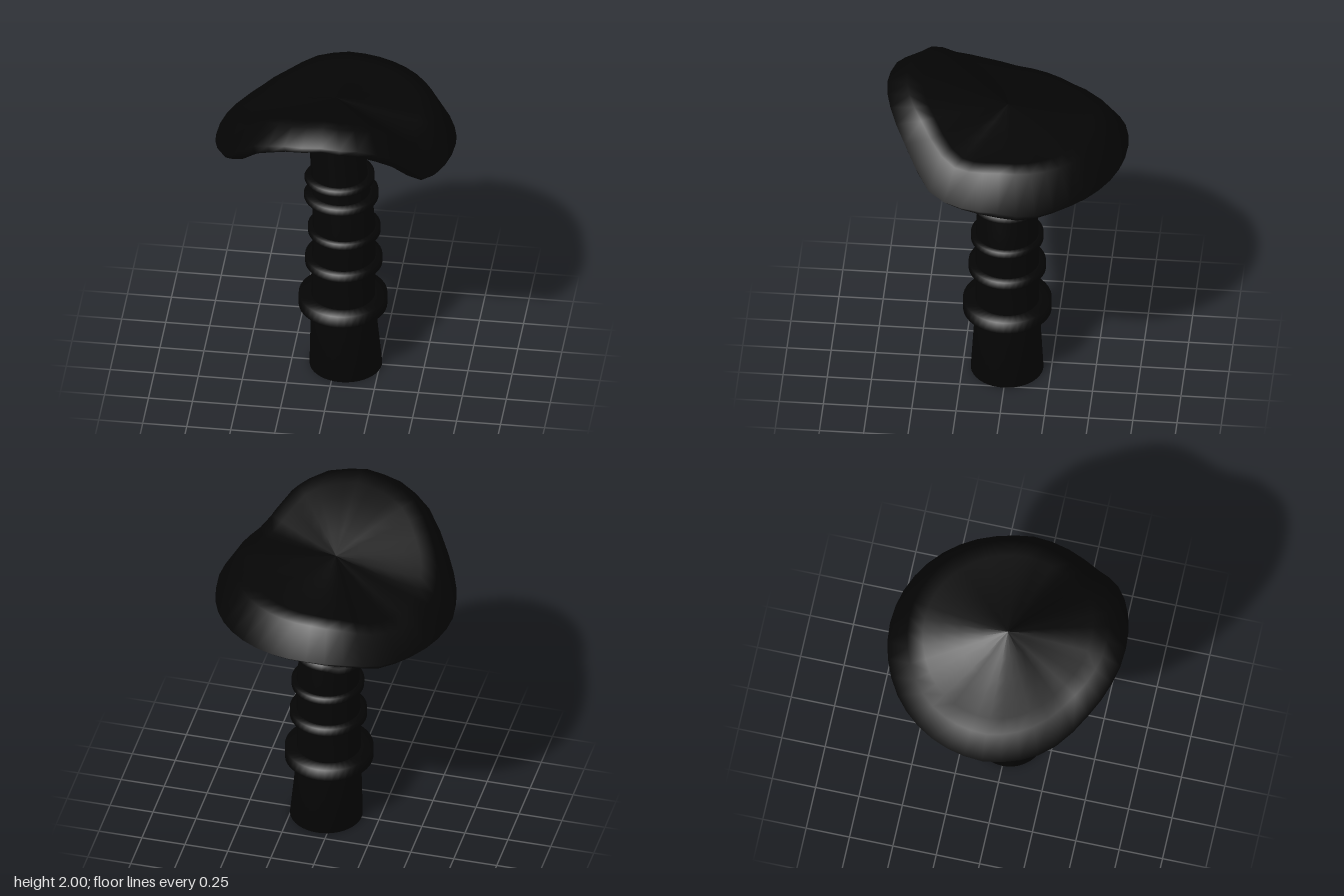
import * as THREE from 'three';

const SIDES = 40;
const material = new THREE.MeshStandardMaterial({ color: 0x050505 });

// Joins rings, listed from the bottom centre outwards and up; point(ring, angle) gives [x, y, z].
// Angle 0 is the front (+z) and grows towards +x.
function loft(rings, point) {
  const positions = [], index = [];
  rings.forEach((ring, i) => {
    for (let j = 0; j < SIDES; j++) {
      positions.push(...point(ring, (j / SIDES) * Math.PI * 2));
      if (i === rings.length - 1) continue;
      const k = (j + 1) % SIDES;
      const a = i * SIDES + j, b = i * SIDES + k, c = b + SIDES, d = a + SIDES;
      index.push(a, b, c, a, c, d);
    }
  });
  const geometry = new THREE.BufferGeometry();
  geometry.setAttribute('position', new THREE.Float32BufferAttribute(positions, 3));
  geometry.setIndex(index);
  geometry.computeVertexNormals();
  return geometry;
}

function addPart(group, name, geometry) {
  const mesh = new THREE.Mesh(geometry, material);
  mesh.name = name;
  group.add(mesh);
}

// Cap heights around the edge: degrees, shoulder, rim, lip underneath
const EDGE = [
  [0, 2.0, 1.93, 1.89], [20, 1.97, 1.9, 1.85], [34, 1.93, 1.82, 1.76],
  [45, 1.84, 1.69, 1.64], [55, 1.76, 1.57, 1.55], [65, 1.72, 1.55, 1.53],
  [80, 1.74, 1.55, 1.52], [90, 1.75, 1.55, 1.505], [103, 1.74, 1.52, 1.48],
  [125, 1.73, 1.53, 1.515], [180, 1.73, 1.56, 1.54], [197, 1.71, 1.55, 1.525],
  [216, 1.65, 1.51, 1.48], [235, 1.62, 1.5, 1.48], [260, 1.64, 1.5, 1.48],
  [270, 1.65, 1.5, 1.485], [285, 1.7, 1.54, 1.52], [295, 1.75, 1.57, 1.54],
  [305, 1.8, 1.63, 1.6], [315, 1.88, 1.73, 1.67], [325, 1.94, 1.83, 1.77],
  [340, 1.97, 1.9, 1.85], [360, 2.0, 1.93, 1.89],
];

function edgeHeight(angle, column) {
  const degrees = THREE.MathUtils.radToDeg(angle);
  const i = Math.max(1, EDGE.findIndex((row) => row[0] >= degrees));
  const a = EDGE[i - 1], b = EDGE[i];
  return THREE.MathUtils.lerp(a[column], b[column], (degrees - a[0]) / (b[0] - a[0]));
}

// Wavy cap, curled up at the front: rings hold radius, edge column, centre height, blend
function capGeometry() {
  const under = [0.14, 0.27, 0.38, 0.48, 0.58, 0.66].map((r) => {
    const t = (r - 0.14) / 0.52;
    return [r, 3, 1.535 + 0.13 * t, t];
  });
  const over = [0.57, 0.48, 0.38, 0.27, 0.15, 0].map((r) => {
    const t = r / 0.57;
    return [r, 1, 1.81, t + 0.1 * Math.sin(Math.PI * t)];
  });
  return loft([...under, [0.68, 2, 0, 1], ...over], ([r, column, centre, blend], angle) => [
    r * Math.sin(angle),
    THREE.MathUtils.lerp(centre, edgeHeight(angle, column), blend),
    r * Math.cos(angle),
  ]);
}

// Slightly bent stem: radius, height, sideways offset
function stemGeometry() {
  const rings = [
    [0, 0, 0.056], [0.205, 0, 0.056], [0.18, 0.42, 0.04], [0.18, 0.7, 0.043],
    [0.178, 0.93, 0.047], [0.173, 1.05, 0.04], [0.167, 1.16, 0.03],
    [0.161, 1.28, 0.02], [0.15, 1.54, 0],
  ];
  return loft(rings, ([r, y, offset], angle) => [offset + r * Math.sin(angle), y, r * Math.cos(angle)]);
}

// Flat collar around the stem, sagging at the back on the -x side
function collarGeometry(radius, y, thickness, offset, inner, sag) {
  const h = thickness / 2;
  const rings = [[inner, -h], [radius, -h], [radius, h], [inner, h]];
  return loft(rings, ([r, dy], angle) => [
    offset + r * Math.sin(angle),
    y + dy - sag * THREE.MathUtils.smoothstep(-Math.sin(angle + 0.6), 0.6, 0.95),
    r * Math.cos(angle),
  ]);
}

export function createModel() {
  const group = new THREE.Group();
  group.name = 'mushroom';
  addPart(group, 'cap', capGeometry());
  addPart(group, 'stem', stemGeometry());

  // Collars: radius, height, thickness, sideways offset, inner radius, sag
  [
    [0.25, 0.44, 0.075, 0.04, 0.175, 0],
    [0.218, 0.717, 0.048, 0.044, 0.175, 0],
    [0.205, 0.925, 0.038, 0.047, 0.173, 0],
    [0.21, 1.163, 0.04, 0.03, 0.16, 0.025],
    [0.197, 1.282, 0.034, 0.02, 0.155, 0.03],
  ].forEach((collar, i) => addPart(group, `collar${i + 1}`, collarGeometry(...collar)));
  return group;
}
